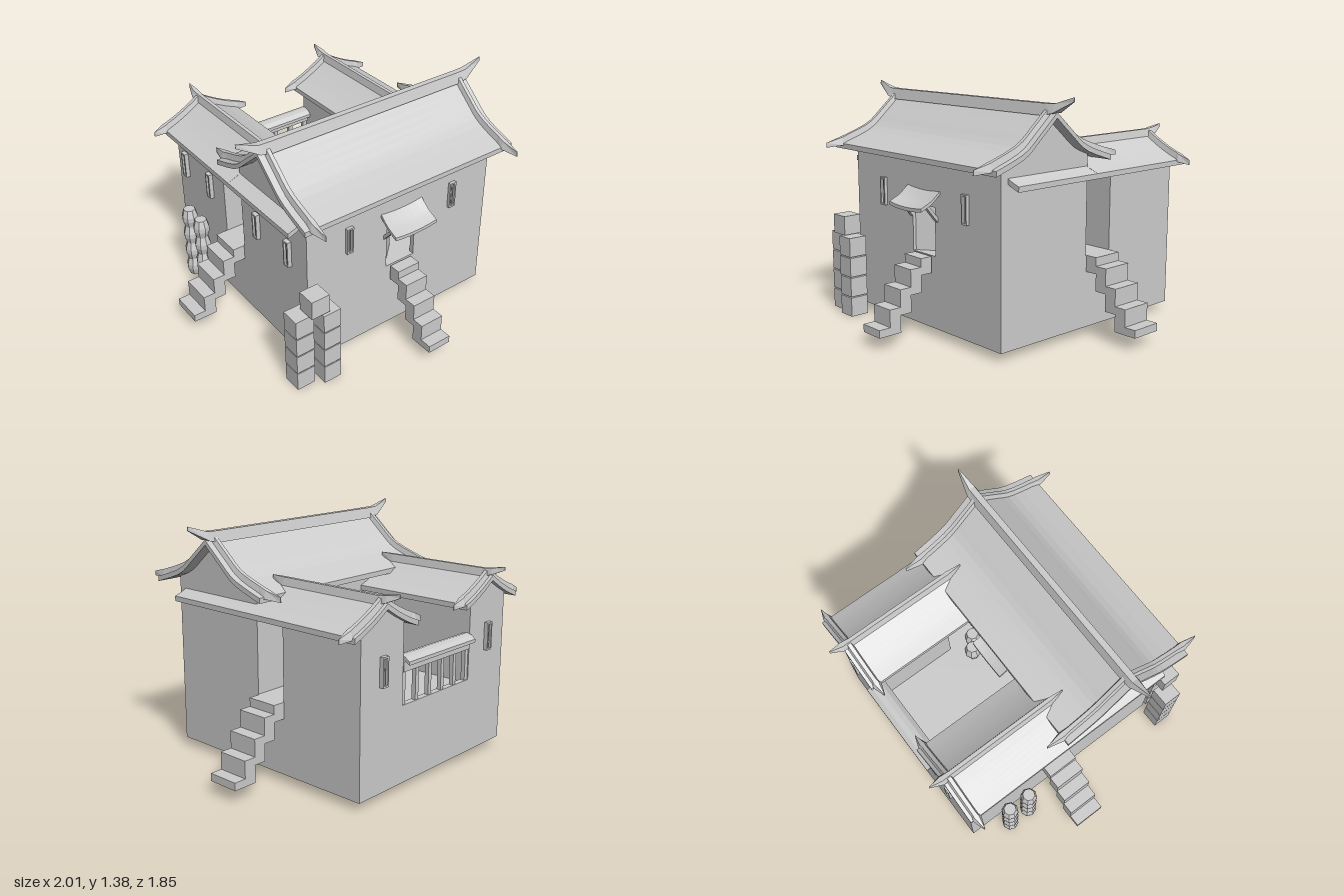
import * as THREE from 'three';

const mat = new THREE.MeshStandardMaterial({ color: 0xcccccc, flatShading: true });
const thinMat = new THREE.MeshStandardMaterial({ color: 0xcccccc, flatShading: true, side: THREE.DoubleSide });
const V = (p) => new THREE.Vector2(p[0], p[1]);

function add(parent, name, geo, x = 0, y = 0, z = 0, material = mat) {
  const m = new THREE.Mesh(geo, material);
  m.name = name;
  m.position.set(x, y, z);
  parent.add(m);
  return m;
}

// box given by its limits
function box(parent, name, x0, x1, y0, y1, z0, z1) {
  return add(parent, name, new THREE.BoxGeometry(x1 - x0, y1 - y0, z1 - z0),
    (x0 + x1) / 2, (y0 + y1) / 2, (z0 + z1) / 2);
}

// outline extruded along z and centred; alongX turns it so the outline's u runs along z
function extrude(pts, length, { hole, alongX, steps = 1 } = {}) {
  const shape = new THREE.Shape(pts.map(V));
  if (hole) shape.holes.push(new THREE.Path(hole.map(V)));
  const g = new THREE.ExtrudeGeometry(shape, { depth: length, bevelEnabled: false, steps });
  g.translate(0, 0, -length / 2);
  return alongX ? g.rotateY(-Math.PI / 2) : g;
}
const rect = (x0, x1, y0, y1) => [[x0, y0], [x1, y0], [x1, y1], [x0, y1]];

// concave roof slope, sampled from ridge to eave, and its mirrored outline
const slope = (pts) => new THREE.SplineCurve(pts.map(V)).getPoints(10).map((p) => [p.x, p.y]);
const bothSides = (s) => [...s.slice(1).reverse().map(([u, y]) => [-u, y]), ...s];
const slab = (line, t) => [...line, ...line.slice().reverse().map(([u, y]) => [u, y - t])];
const MAIN = slope([[0, 1.3], [0.115, 1.2], [0.23, 1.11], [0.425, 1.04]]);
const WING = slope([[0, 1.075], [0.08, 1.025], [0.17, 0.978], [0.25, 0.945]]);

// gable wall outline, tucked just under the roof
function gable(s, half, bottom) {
  const top = bothSides(s.filter(([u]) => u < half)).map(([u, y]) => [u, y - 0.015]);
  const end = s.find(([u]) => u >= half)[1] - 0.012;
  return [[-half, bottom], [-half, end], ...top, [half, end], [half, bottom]];
}

// ridge bar lofted through stations [u, bottom y, half width, height]
function ridge(stations, alongZ) {
  const pos = [], idx = [], n = stations.length;
  for (const [u, y, w, h] of stations) pos.push(u, y, -w, u, y, w, u, y + h, w * 0.5, u, y + h, -w * 0.5);
  for (let s = 0; s < n - 1; s++) {
    for (let i = 0; i < 4; i++) {
      const a = s * 4 + i, b = s * 4 + (i + 1) % 4;
      idx.push(a, a + 4, b, b, a + 4, b + 4);
    }
  }
  const e = (n - 1) * 4;
  idx.push(0, 1, 2, 0, 2, 3, e, e + 2, e + 1, e, e + 3, e + 2);
  const g = new THREE.BufferGeometry();
  g.setAttribute('position', new THREE.Float32BufferAttribute(pos, 3));
  g.setIndex(idx);
  if (alongZ) g.rotateY(-Math.PI / 2);
  g.computeVertexNormals();
  return g;
}

// bar following a roof slope on both sides, ending in pointed tips
function verge(s, tipU, tipY, alongZ) {
  const half = s.map(([u, y], i) => [u, y - 0.01, i === s.length - 1 ? 0.028 : 0.022, 0.045]);
  half.push([tipU, tipY, 0.003, 0.028]);
  return ridge([...half.slice(1).reverse().map(([u, ...r]) => [-u, ...r]), ...half], alongZ);
}

// flight of steps running out along +z from the wall
function stairs(width, start) {
  const g = new THREE.Group(), h = width / 2, d = 0.0725;
  box(g, 'bottomTread', -h, h, 0.075, 0.12, start + 4 * d, start + 5 * d);
  for (let k = 0; k < 4; k++) {
    const z = start + (3 - k) * d;
    box(g, 'step', -h, h, 0.075 + k * 0.1, Math.min(0.22 + k * 0.1, 0.47), z, z + d);
  }
  return g;
}

// little sagging roof on two struts over a door, wall at z = 0
function canopy(width) {
  const g = new THREE.Group();
  const geo = extrude(slab(slope([[0, 0.1], [0.06, 0.052], [0.13, 0.02]]), 0.02), width, { alongX: true, steps: 6 });
  const p = geo.attributes.position;
  for (let i = 0; i < p.count; i++) p.setY(i, p.getY(i) + 0.012 * (2 * p.getX(i) / width) ** 2 - 0.004);
  geo.computeVertexNormals();
  add(g, 'canopyRoof', geo);
  for (const s of [-1, 1])
    add(g, 'canopyStrut', extrude([[0, -0.07], [0.075, 0.02], [0.075, 0.045], [0, -0.04]], 0.028, { alongX: true }), s * 0.11);
  return g;
}

// slit window facing +z
function slitWindow() {
  const g = new THREE.Group();
  add(g, 'windowFrame', extrude(rect(-0.022, 0.022, -0.082, 0.082), 0.03, { hole: rect(-0.013, 0.013, -0.072, 0.072) }));
  box(g, 'windowBar', -0.004, 0.004, -0.075, 0.075, -0.01, 0.008);
  return g;
}

function place(parent, obj, name, x, y, z, ry = 0) {
  obj.name = name;
  obj.position.set(x, y, z);
  obj.rotation.y = ry;
  parent.add(obj);
}

export function createModel() {
  const root = new THREE.Group();
  root.name = 'courtyardHouse';
  const FRONT = 0.556, BACK = -0.82, HALL = -0.085, MID = 0.235, W = 0.64;

  // hollow plinth, open underneath, its top being the floor
  const base = new THREE.BoxGeometry(2 * W, 0.42, FRONT - BACK);
  base.setIndex([...base.index.array].filter((_, i) => i < 18 || i >= 24));
  base.clearGroups();
  add(root, 'plinth', base, 0, 0.26, (FRONT + BACK) / 2, thinMat);

  // main hall walls with door openings
  const hall = new THREE.Group();
  hall.name = 'mainHall';
  root.add(hall);
  const wall = rect(-W, W, 0.47, 1.045);
  add(hall, 'frontWall', extrude(wall, 0.03, { hole: rect(-0.1, 0.1, 0.472, 0.75) }), 0, 0, FRONT - 0.015);
  add(hall, 'backWall', extrude(wall, 0.03, { hole: rect(-0.1, 0.1, 0.472, 0.82) }), 0, 0, HALL + 0.015);
  box(hall, 'backDoor', -0.1, 0.1, 0.47, 0.82, HALL + 0.012, HALL + 0.024);
  const leaf = new THREE.BoxGeometry(0.19, 0.28, 0.012).translate(0.095, 0, 0);
  add(hall, 'frontDoorLeaf', leaf, -0.1, 0.61, FRONT - 0.02).rotation.y = 0.75;
  for (const s of [-1, 1])
    add(hall, 'gableWall', extrude(gable(MAIN, 0.3205, 0.47), 0.03, { alongX: true }), s * (W - 0.015), 0, MID);
  place(hall, canopy(0.29), 'frontCanopy', 0, 0.74, FRONT);
  place(hall, canopy(0.26), 'backCanopy', 0, 0.81, HALL, Math.PI);

  // main roof with horned ridge and verges
  add(hall, 'mainRoof', extrude(slab(bothSides(MAIN), 0.03), 1.435, { alongX: true }), 0, 0, MID);
  add(hall, 'mainRidge', ridge([[-0.835, 1.362, 0.003, 0.023], [-0.71, 1.295, 0.036, 0.05], [-0.64, 1.28, 0.036, 0.063],
    [0.64, 1.28, 0.036, 0.063], [0.71, 1.295, 0.036, 0.05], [0.835, 1.362, 0.003, 0.023]]), 0, 0, MID);
  for (const s of [-1, 1]) add(hall, 'mainVerge', verge(MAIN, 0.525, 1.022, true), s * 0.66, 0, MID);

  // side wings, pent roofs and side stairs
  for (const s of [-1, 1]) {
    const wing = new THREE.Group();
    wing.name = s > 0 ? 'leftWing' : 'rightWing';
    root.add(wing);
    const x = s * 0.47;
    add(wing, 'wingWalls', extrude(gable(WING, 0.17, 0.47), 0.54), x, 0, -0.55);
    add(wing, 'wingRoof', extrude(slab(bothSides(WING), 0.03), 0.77), x, 0, -0.465);
    add(wing, 'wingRidge', ridge([[-0.925, 1.112, 0.003, 0.02], [-0.85, 1.08, 0.028, 0.038], [-0.79, 1.065, 0.022, 0.045],
      [-0.13, 1.065, 0.022, 0.045], [-0.04, 1.085, 0.003, 0.025]], true), x);
    add(wing, 'wingVerge', verge(WING, 0.32, 0.922, false), x, 0, -0.81);
    const pent = slab([[0.15, 0.987], [0.2, 0.963], [0.25, 0.945]], 0.03).map(([u, y]) => [s * u, y]);
    add(wing, 'pentRoof', extrude(pent, 0.595), x, 0, 0.2125);
    place(wing, slitWindow(), 'backWindow', x, 0.718, BACK - 0.01, Math.PI);
    place(wing, stairs(0.19, W), 'sideStairs', 0, 0, -0.187, s * Math.PI / 2);
    place(root, slitWindow(), 'frontWindow', s * 0.366, 0.78, FRONT + 0.004);
  }
  for (const z of [-0.72, -0.43, 0.08, 0.39]) place(root, slitWindow(), 'sideWindow', -W - 0.01, 0.718, z, -Math.PI / 2);
  place(root, stairs(0.15, FRONT + 0.01), 'frontStairs', 0, 0, 0);

  // balustrade closing the courtyard
  const rail = new THREE.Group();
  rail.name = 'balustrade';
  root.add(rail);
  box(rail, 'bottomRail', -0.3, 0.3, 0.47, 0.492, -0.82, -0.785);
  box(rail, 'topRail', -0.3, 0.3, 0.675, 0.73, -0.825, -0.78);
  add(rail, 'railCap', extrude(slab([[-0.057, 0.738], [-0.03, 0.758], [0, 0.765], [0.03, 0.758], [0.057, 0.738]], 0.02), 0.6,
    { alongX: true }), 0, 0, -0.803);
  for (let i = 0; i < 6; i++) {
    const x = -0.285 + i * 0.114;
    box(rail, 'baluster', x - 0.013, x + 0.013, 0.49, 0.68, -0.815, -0.79);
  }

  // stacked jars beside the wall and loose jars in the courtyard
  const jar = new THREE.LatheGeometry([[0, 0], [0.036, 0], [0.05, 0.045], [0.05, 0.075], [0.036, 0.122], [0, 0.122]].map(V), 8);
  for (const z of [-0.593, -0.454])
    for (let i = 0; i < 4; i++) add(root, 'stackedJar', jar, -0.722, i * 0.122, z);
  add(root, 'courtyardJar', jar, 0.19, 0.47, -0.187);
  add(root, 'courtyardJar', jar, 0.26, 0.47, -0.135);

  // stacked stone blocks at the front corner
  for (let i = 0; i < 4; i++) {
    const y = i * 0.123;
    box(root, 'stoneBlock', -0.64, -0.53, y, y + 0.116, 0.59, 0.705);
    box(root, 'stoneBlock', -0.79, -0.675, y, y + 0.116, 0.545, 0.66);
  }
  box(root, 'topStoneBlock', -0.71, -0.595, 0.492, 0.607, 0.583, 0.695);

  return root;
}
